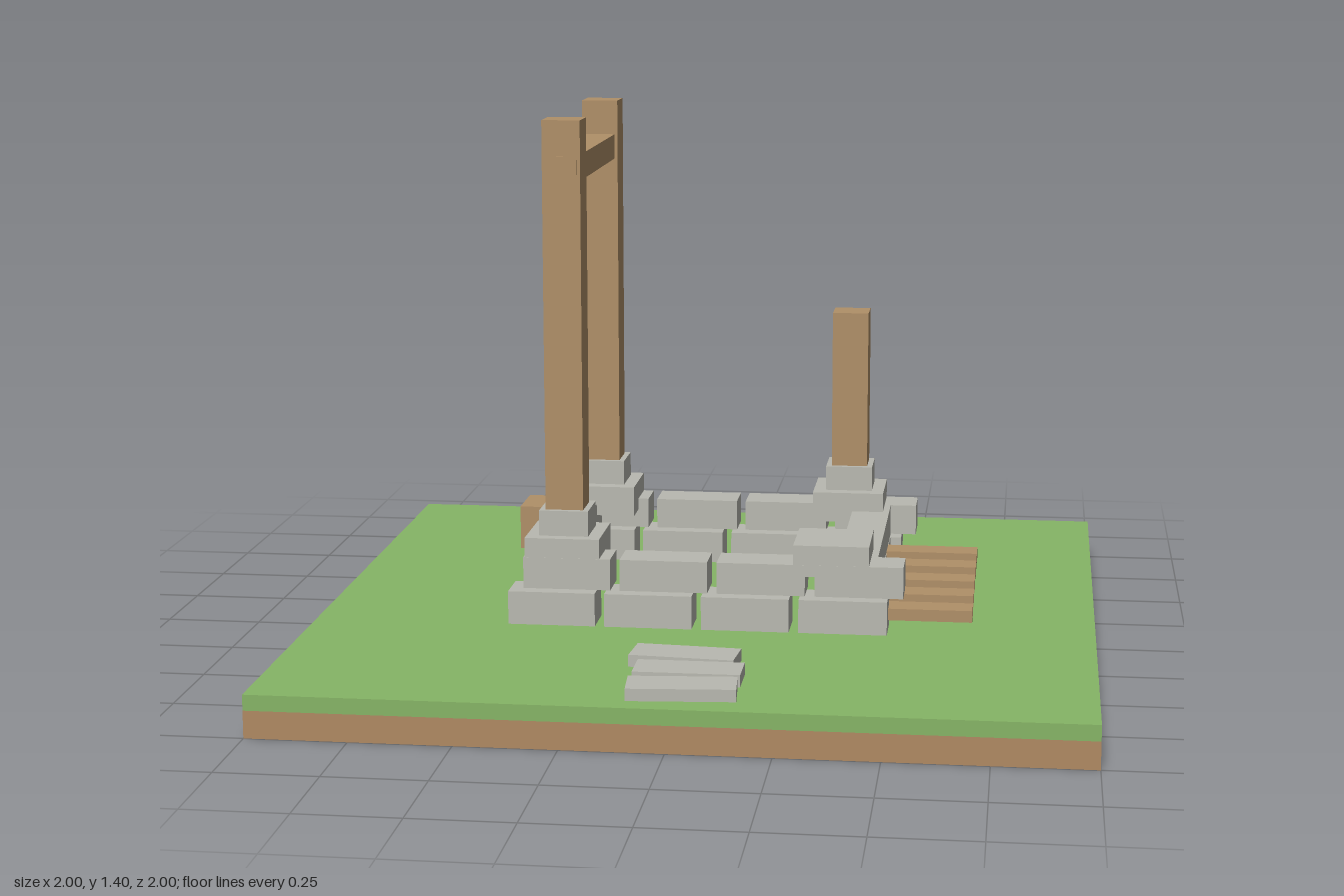
import * as THREE from 'three';

const mat = (name, color) => {
  const m = new THREE.MeshStandardMaterial({ color });
  m.name = name;
  return m;
};

export function createModel() {
  const model = new THREE.Group();
  model.name = 'ruinedHut';
  const grass = mat('grass green', 0x86b566);
  const dirt = mat('dirt brown', 0xb08a63);
  const stone = mat('stone grey', 0xb9b9b1);
  const wood = mat('wood brown', 0xb09068);

  // Box given by its extents on each axis
  const box = (name, material, [x0, x1], [y0, y1], [z0, z1], parent = model) => {
    const mesh = new THREE.Mesh(new THREE.BoxGeometry(x1 - x0, y1 - y0, z1 - z0), material);
    mesh.position.set((x0 + x1) / 2, (y0 + y1) / 2, (z0 + z1) / 2);
    mesh.name = name;
    parent.add(mesh);
    return mesh;
  };
  const around = (c, size) => [c - size / 2, c + size / 2];
  const group = (name) => {
    const g = new THREE.Group();
    g.name = name;
    model.add(g);
    return g;
  };

  // Ground slab
  box('dirtLayer', dirt, [-1, 1], [0, 0.068], [-1, 1]);
  box('grassLayer', grass, [-1, 1], [0.068, 0.107], [-1, 1]);

  // Two staggered courses of blocks on the front and back walls
  const lower = [0.13, 0.215], upper = [0.225, 0.305];
  for (const side of [1, -1]) {
    const wall = group(side > 0 ? 'frontWall' : 'backWall');
    for (let i = 0; i < 4; i++) {
      const x = -0.37 + i * 0.246;
      box('lowerBlock', stone, around(x, 0.222), lower, around(side * 0.345, 0.105), wall);
      box('upperBlock', stone, around(x + 0.04, 0.222), upper, around(side * 0.345, 0.105), wall);
    }
  }

  // Long side walls
  for (const side of [1, -1]) {
    const wall = group(side > 0 ? 'leftWall' : 'rightWall');
    box('lowerCourse', stone, around(side * 0.4, 0.1), lower, [-0.295, 0.295], wall);
    box('upperCourse', stone, around(side * 0.4, 0.1), [0.222, 0.305], [-0.295, 0.295], wall);
  }

  // Corner stones, plinths and posts; the front left post is missing
  const corners = [
    [-0.342, 0.305, 1.405], [-0.342, -0.305, 1.405],
    [0.338, -0.305, 0.84], [0.338, 0.305, 0],
  ];
  for (const [x, z, top] of corners) {
    const corner = group('corner');
    box('cornerStone', stone, around(x, 0.19), [0.275, 0.355], around(z * 0.99, 0.19), corner);
    if (!top) continue;
    box('plinth', stone, around(x, 0.125), [0.355, 0.42], around(z, 0.125), corner);
    box('post', wood, around(x, 0.096), [0.42, top], around(z, 0.096), corner);
  }
  box('crossBeam', wood, around(-0.342, 0.08), [1.25, 1.315], [-0.35, 0.355]);

  // Fallen planks rising through the left wall
  const planks = group('planks');
  for (let i = 0; i < 5; i++) {
    box('plank', wood, [0.293, 0.69], around(0.206 - i * 0.009, 0.03), around(-0.145 + i * 0.1125, 0.075), planks);
  }

  // Wooden crate at the back right corner
  box('crate', wood, [-0.598, -0.405], [0.13, 0.25], [-0.54, -0.393]);

  // Stepping stones
  const path = group('steppingStones');
  for (const [x, z, turn] of [[0, 0.622, -0.08], [0.025, 0.752, 0], [0.025, 0.882, 0.08]]) {
    box('steppingStone', stone, around(x, 0.26), [0.107, 0.137], around(z, 0.106), path).rotation.y = turn;
  }
  return model;
}
